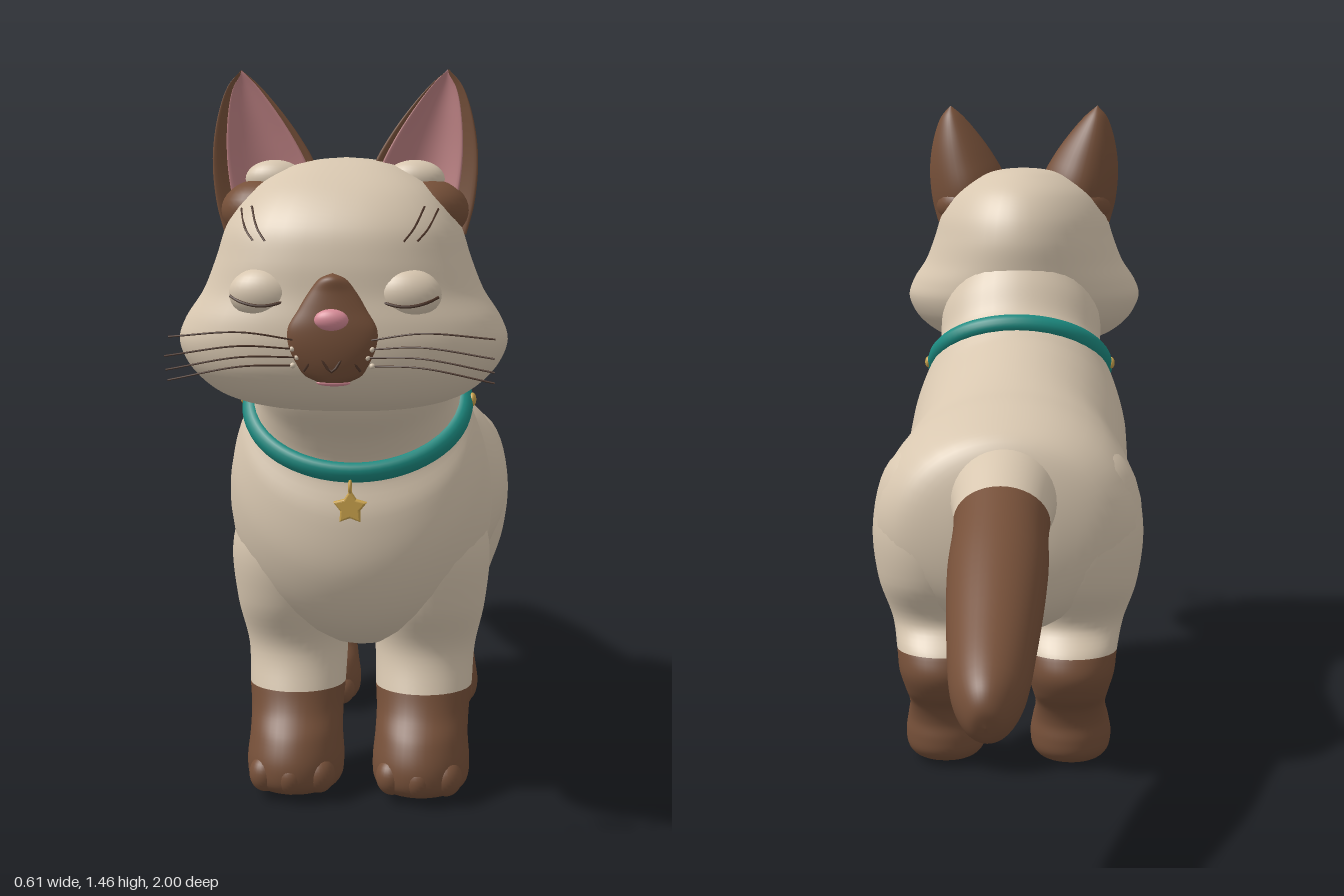
import * as THREE from 'three';

const mat = (name, color) => Object.assign(new THREE.MeshStandardMaterial({ color }), { name });

export function createModel() {
  const cream = mat('cream fur', 0xd8c7b0);
  const brown = mat('brown fur', 0x765039);
  const teal = mat('teal collar', 0x1c8a80);
  const gold = mat('gold', 0xc9a24c);
  const earPink = mat('ear pink', 0xbd8183);
  const nosePink = mat('nose pink', 0xd98c98);
  const dark = mat('dark line', 0x4a3226);
  const cat = new THREE.Group();
  cat.name = 'cat';

  const add = (name, geometry, material, x = 0, y = 0, z = 0) => {
    const mesh = new THREE.Mesh(geometry, material);
    mesh.name = name;
    mesh.position.set(x, y, z);
    cat.add(mesh);
    return mesh;
  };
  const ball = (name, material, [x, y, z], [rx, ry, rz]) =>
    add(name, new THREE.SphereGeometry(1, 28, 18), material, x, y, z).scale.set(rx, ry, rz);
  const tube = (name, material, points, radius) => {
    const curve = new THREE.CatmullRomCurve3(points.map(p => new THREE.Vector3(...p)));
    return add(name, new THREE.TubeGeometry(curve, 16, radius, 6), material);
  };

  // Smooth skin through oval sections [p, y, p, y, halfWidth, offset]; p is z (or x when along is 'z')
  // and the half width runs along the other axis. Rows below the split section use the first material.
  function loft(name, sections, mats, { along = 'x', split = 0, side = 1, shape = (c, s) => [c, s] } = {}) {
    const N = 40, STEP = 6, rows = (sections.length - 1) * STEP;
    const A = new THREE.CatmullRomCurve3(sections.map(s => new THREE.Vector3(s[0], s[1], s[4])));
    const B = new THREE.CatmullRomCurve3(sections.map(s => new THREE.Vector3(s[2], s[3], s[5] ?? 0)));
    const pos = [], index = [];
    for (let i = 0; i <= rows; i++) {
      const a = A.getPoint(i / rows), b = B.getPoint(i / rows);
      for (let j = 0; j < N; j++) {
        const t = j / N * Math.PI * 2;
        const [c, s] = shape(Math.cos(t), Math.sin(t));
        const p = (a.x + b.x) / 2 + (b.x - a.x) / 2 * c;
        const y = (a.y + b.y) / 2 + (b.y - a.y) / 2 * c;
        const q = b.z + Math.max(a.z, 0) * s;
        if (along === 'x') pos.push(q * side, y, p);
        else pos.push(p * side, y, q);
      }
    }
    for (let i = 0; i < rows; i++) for (let j = 0; j < N; j++) {
      const k = (j + 1) % N, a = i * N + j, b = i * N + k;
      index.push(a, b, a + N, b, b + N, a + N);
    }
    // Turn the faces outward by the sign of the enclosed volume
    let volume = 0;
    const v = n => new THREE.Vector3().fromArray(pos, index[n] * 3);
    for (let n = 0; n < index.length; n += 3) volume += v(n).dot(v(n + 1).cross(v(n + 2)));
    if (volume < 0) for (let n = 0; n < index.length; n += 3) {
      [index[n], index[n + 1]] = [index[n + 1], index[n]];
    }
    const g = new THREE.BufferGeometry();
    g.setAttribute('position', new THREE.Float32BufferAttribute(pos, 3));
    g.setIndex(index);
    g.computeVertexNormals();
    if (split) {
      const cut = split * STEP * N * 6;
      g.addGroup(0, cut, 0);
      g.addGroup(cut, index.length - cut, 1);
    }
    return add(name, g, mats);
  }

  // Torso and neck: sections run from the belly line to the back line and fan up into the neck
  loft('body', [
    [-.36, .56, -.36, .57, 0], [-.352, .46, -.352, .67, .12], [-.315, .37, -.32, .75, .225],
    [-.25, .32, -.25, .785, .278], [-.15, .29, -.15, .81, .296], [0, .283, 0, .82, .288],
    [.12, .28, .12, .848, .267], [.27, .275, .2, .872, .268], [.42, .3, .26, .888, .27],
    [.54, .37, .29, .9, .268], [.605, .48, .31, .912, .255], [.615, .6, .325, .922, .235],
    [.6, .69, .335, .935, .214], [.63, .75, .365, .965, .203], [.69, .82, .405, 1.03, .2],
    [.72, .9, .46, 1.1, .17],
  ], cream);

  // Head: level sections from chin to crown, blunt in front and round behind
  const head = loft('head', [
    [.7, .835, .72, .835, 0], [.6, .845, .82, .845, .14], [.52, .872, .885, .872, .225],
    [.46, .92, .925, .92, .28], [.435, .97, .937, .97, .3], [.427, 1.01, .937, 1.01, .288],
    [.422, 1.06, .93, 1.06, .256], [.422, 1.12, .926, 1.12, .232], [.44, 1.18, .91, 1.18, .212],
    [.485, 1.24, .86, 1.24, .17], [.56, 1.283, .785, 1.283, .105], [.61, 1.297, .735, 1.297, .055],
    [.67, 1.302, .68, 1.302, 0],
  ], cream, { shape: (c, s) => [c > 0 ? c ** .87 : c, Math.sign(s) * Math.abs(s) ** (c > 0 ? .87 : 1) * (1 + .15 * c)] });
  const ray = new THREE.Raycaster();
  const faceZ = (x, y) => {
    ray.set(new THREE.Vector3(x, y, 2), new THREE.Vector3(0, 0, -1));
    return ray.intersectObject(head)[0]?.point.z ?? .85;
  };

  // Tail with a brown end
  loft('tail', [
    [-.25, .5, -.2, .75, .15], [-.33, .515, -.335, .735, .115], [-.38, .515, -.47, .685, .1],
    [-.55, .445, -.64, .615, .1], [-.75, .365, -.82, .525, .086], [-.88, .31, -.945, .455, .069],
    [-.93, .303, -.985, .42, .05], [-.97, .32, -.998, .385, .028], [-.99, .35, -.99, .35, 0],
  ], [cream, brown], { split: 2 });

  // Ear sections from base to tip
  const ear = [
    [.04, 1.22, .225, 1.16, .075, .685], [.053, 1.285, .24, 1.22, .075, .685],
    [.08, 1.335, .246, 1.3, .062, .69], [.12, 1.39, .236, 1.375, .044, .697],
    [.16, 1.435, .216, 1.432, .022, .704], [.19, 1.46, .192, 1.46, 0, .71],
  ];
  const innerEar = ear.map(([x0, y0, x1, y1, w, z]) => [
    x0 + (x1 - x0) * .07, y0 + (y1 - y0) * .07, x1 - (x1 - x0) * .17, y1 - (y1 - y0) * .17 - .008, w, z + .007]);
  const cup = (c, s) => [c, .35 * s - .7 * s * s + .35];

  for (const side of [1, -1]) {
    const label = side > 0 ? 'left' : 'right';

    // Legs with brown socks
    loft(label + 'FrontLeg', [
      [.45, .004, .46, .004, 0, .13], [.375, .008, .53, .008, .072, .13], [.347, .035, .568, .03, .096, .13],
      [.34, .07, .574, .07, .1, .13], [.334, .115, .553, .125, .096, .13], [.315, .165, .518, .17, .096, .131],
      [.3, .215, .498, .215, .1, .132], [.275, .28, .478, .3, .104, .133], [.25, .38, .52, .4, .118, .14],
      [.24, .52, .54, .52, .122, .143], [.28, .64, .5, .64, .08, .14], [.36, .7, .4, .7, 0, .13],
    ], [brown, cream], { split: 6, side });
    loft(label + 'HindLeg', [
      [-.15, .004, -.14, .004, 0, .14], [-.205, .008, -.085, .008, .062, .14], [-.235, .032, -.052, .03, .085, .14],
      [-.24, .065, -.046, .065, .09, .14], [-.238, .1, -.07, .11, .084, .14], [-.255, .14, -.122, .15, .077, .14],
      [-.3, .18, -.135, .185, .083, .14], [-.325, .23, -.122, .225, .096, .14], [-.312, .275, -.11, .275, .102, .14],
      [-.272, .335, -.065, .325, .112, .143], [-.32, .43, -.02, .42, .136, .15], [-.335, .55, 0, .55, .145, .152],
      [-.29, .68, -.04, .68, .11, .15], [-.18, .76, -.14, .76, 0, .13],
    ], [brown, cream], { split: 8, side });

    // Toes and pads
    for (const d of [-1, 0, 1]) {
      ball(label + 'FrontToe', brown, [side * .13 + d * .055, .052, d ? .525 : .542], [.033, .038, .036]);
      ball(label + 'HindToe', brown, [side * .14 + d * .05, .046, d ? -.088 : -.076], [.03, .034, .033]);
    }
    ball(label + 'FrontPad', earPink, [side * .13, .006, .475], [.028, .006, .026]);
    ball(label + 'HindPad', earPink, [side * .14, .006, -.13], [.028, .006, .026]);

    // Ears with a brown patch at the root
    loft(label + 'Ear', ear, brown, { along: 'z', side, shape: cup });
    loft(label + 'InnerEar', innerEar, earPink, { along: 'z', side, shape: cup });
    ball(label + 'EarRoot', brown, [side * .15, 1.205, .71], [.08, .058, .08]);
    ball(label + 'EarTuft', cream, [side * .13, 1.262, .71], [.055, .035, .035]);

    // Closed eyes
    const ex = side * .127, ey = 1.063, ez = faceZ(ex, ey) - .022;
    ball(label + 'Eyelid', cream, [ex, ey, ez], [.062, .046, .04]);
    tube(label + 'LashLine', dark, [-.92, -.6, -.25, 0, .25, .6, .92].map(u => {
      const dy = -.42 + .4 * u * u;
      return [ex + u * .062, ey + dy * .046, ez + .04 * Math.sqrt(Math.max(0, 1 - u * u - dy * dy)) + .001];
    }), .0028);

    // Brow hairs
    for (const [x0, y0, x1, y1] of [[.178, 1.21, .145, 1.155], [.155, 1.215, .122, 1.155]]) {
      tube(label + 'Brow', dark, [0, .5, 1].map(t => {
        const x = side * (x0 + (x1 - x0) * t), y = y0 + (y1 - y0) * t - .008 * Math.sin(t * Math.PI);
        return [x, y, faceZ(x, y) + .003];
      }), .002);
    }

    // Whiskers and their roots
    [[.985, 1.0, .965], [.97, .97, 1], [.955, .945, .99], [.94, .925, .975]].forEach(([y0, y1, z1], i) => {
      const x = .062 + .008 * (i % 2), z = faceZ(x * side, y0) + .004;
      tube(label + 'Whisker', dark, [[side * x, y0, z], [side * .16, (y0 + y1) / 2 + .008, (z + z1) / 2 + .008],
        [side * .285, y1 - .008, z1 - .002]], .0016);
      ball(label + 'WhiskerRoot', cream, [side * x, y0, z], [.005, .005, .005]);
    });
    ball(label + 'CollarStud', gold, [side * .231, .82, .46], [.008, .014, .014]);
  }

  // Brown muzzle mask, nose and mouth
  loft('muzzle', [[.91, .03], [.922, .052], [.945, .066], [.975, .078], [1.005, .079], [1.04, .06], [1.07, .042],
    [1.092, .024], [1.102, .002]].map(([y, w], i) =>
    [-w, y, w, y, i === 8 ? .006 : .021, faceZ(0, y) - .006]), brown, { along: 'z' });
  ball('nose', nosePink, [0, 1.022, faceZ(0, 1.022) + .014], [.03, .019, .016]);
  tube('mouth', dark, [-.05, -.025, 0, .025, .05].map(x =>
    [x, .945 - .014 * Math.cos(x * 125), faceZ(x, .94) + .016 - x * x * 3]), .0025);
  ball('lowerLip', nosePink, [0, .908, faceZ(0, .908)], [.03, .006, .008]);

  // Tilted collar
  const collar = add('collar', new THREE.TorusGeometry(.2, .02, 14, 72), teal, 0, .8125, .4675);
  collar.scale.set(1.06, .9, 1.15);
  collar.rotation.x = -.84;

  // Star pendant on a ring
  add('pendantRing', new THREE.TorusGeometry(.011, .003, 8, 20), gold, 0, .668, .624).rotation.y = Math.PI / 2;
  const star = new THREE.Shape(Array.from({ length: 10 }, (_, i) => {
    const r = i % 2 ? .016 : .029, a = i * Math.PI / 5;
    return new THREE.Vector2(Math.sin(a) * r, Math.cos(a) * r);
  }));
  add('starPendant', new THREE.ExtrudeGeometry(star, {
    depth: .008, bevelEnabled: true, bevelThickness: .004, bevelSize: .004, bevelSegments: 3,
  }), gold, 0, .627, .619);

  return cat;
}
